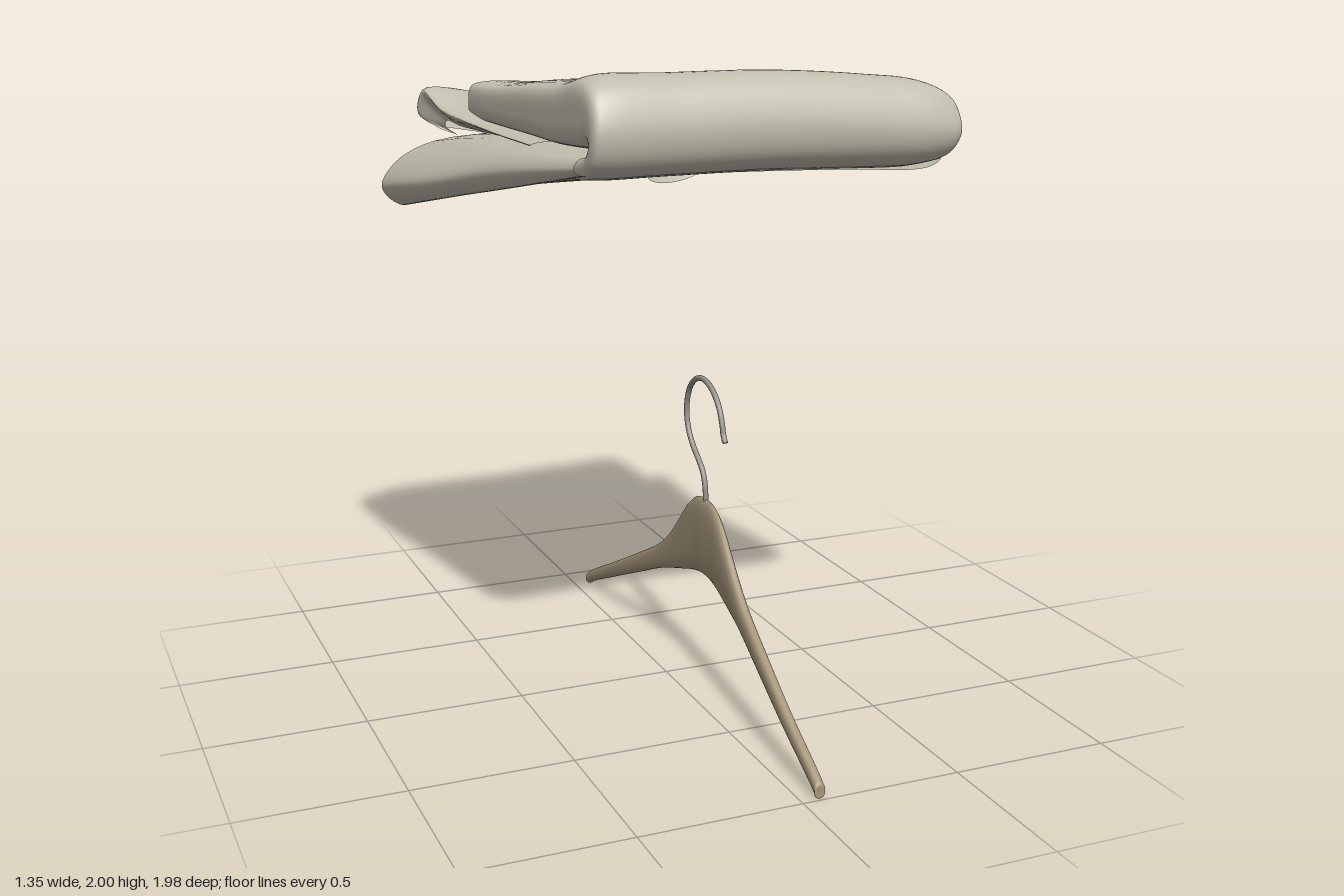
import * as THREE from 'three';

const material = (name, color) => {
  const m = new THREE.MeshStandardMaterial({ color, side: THREE.DoubleSide });
  m.name = name;
  return m;
};

// Smooth surface through rows of [x, y, z] points; each row may be a closed loop
function patch(rows, closed, across, along) {
  const curves = rows.map(r => new THREE.CatmullRomCurve3(r.map(p => new THREE.Vector3(...p)), closed));
  const columns = closed ? across : across + 1;
  const positions = [], index = [];
  for (let i = 0; i < columns; i++) {
    const line = new THREE.CatmullRomCurve3(curves.map(c => c.getPoint(i / across)));
    for (let j = 0; j <= along; j++) positions.push(...line.getPoint(j / along).toArray());
  }
  for (let i = 0; i < across; i++) {
    for (let j = 0; j < along; j++) {
      const a = i * (along + 1) + j, b = ((i + 1) % columns) * (along + 1) + j;
      index.push(a, b, a + 1, b, b + 1, a + 1);
    }
  }
  const g = new THREE.BufferGeometry();
  g.setAttribute('position', new THREE.Float32BufferAttribute(positions, 3));
  g.setIndex(index);
  g.computeVertexNormals();
  return g;
}

// Upper flap: a flattened cloth tube that runs forward, then folds down and under
function foldedFlap() {
  // Stations along the fold: outer z, y, inner z, y, and the shift of the side at +x
  const stations = [
    [-0.5, 1.908, -0.505, 1.785, 0], [-0.3, 1.92, -0.3, 1.785, -0.01], [0, 1.948, 0, 1.785, -0.02],
    [0.3, 1.97, 0.3, 1.785, 0], [0.5, 1.997, 0.49, 1.8, 0.02], [0.595, 1.97, 0.545, 1.82, 0.025],
    [0.645, 1.86, 0.57, 1.815, 0.025], [0.615, 1.76, 0.55, 1.795, 0.015], [0.5, 1.715, 0.45, 1.775, 0],
    [0.35, 1.708, 0.33, 1.765, -0.02], [0.15, 1.72, 0.15, 1.755, -0.05]];
  // Section: x and how far from the inner to the outer face
  const section = [[-0.475, 0.5], [-0.465, 0.88], [-0.42, 1], [-0.2, 1], [0.1, 1], [0.4, 0.99], [0.57, 0.92],
    [0.635, 0.7], [0.65, 0.35], [0.61, 0.06], [0.35, 0], [0, 0], [-0.4, 0], [-0.465, 0.12]];
  const rows = stations.map(([zo, yo, zi, yi, side], j) => section.map(([x, w]) => {
    const z = zi + (zo - zi) * w, y = yi + (yo - yi) * w;
    const drop = (j < 7 ? 0.035 : 0.015) * Math.max(0, x - 0.1) / 0.55 * (0.3 + 0.7 * w);
    const ripple = j < 4 ? 0.005 * w * Math.sin(8 * x + j) : 0;
    const back = j === 0 ? 0.02 * x : 0.01 * Math.sin(4 * x + 4);
    return [x + (x > 0.3 ? side : 0), y - drop + ripple, z + back];
  }));
  return patch(rows, true, 84, 80);
}

// Lower folded pocket, open at the back with a scalloped underside and drooping left corner
function lowerPocket() {
  const back = [[-0.675, 1.53], [-0.63, 1.61], [-0.49, 1.68], [0, 1.7], [0.4, 1.7], [0.53, 1.67], [0.555, 1.61],
    [0.5, 1.56], [0.34, 1.58], [0.22, 1.61], [-0.05, 1.62], [-0.4, 1.61], [-0.47, 1.535], [-0.6, 1.465]];
  const rear = [[-0.645, 1.59], [-0.6, 1.66], [-0.48, 1.73], [0, 1.745], [0.4, 1.75], [0.56, 1.74], [0.585, 1.68],
    [0.54, 1.63], [0.34, 1.61], [0.2, 1.605], [0, 1.605], [-0.35, 1.59], [-0.47, 1.57], [-0.59, 1.54]];
  const middle = [[-0.575, 1.68], [-0.545, 1.73], [-0.46, 1.765], [0, 1.77], [0.4, 1.77], [0.59, 1.765], [0.63, 1.725],
    [0.59, 1.68], [0.34, 1.66], [0.2, 1.655], [0, 1.65], [-0.3, 1.645], [-0.45, 1.64], [-0.54, 1.635]];
  const front = [[-0.505, 1.755], [-0.49, 1.78], [-0.45, 1.785], [0, 1.78], [0.4, 1.765], [0.59, 1.76], [0.63, 1.735],
    [0.59, 1.71], [0.34, 1.715], [0.2, 1.72], [0, 1.725], [-0.3, 1.73], [-0.45, 1.735], [-0.49, 1.74]];
  const scallop = [0.04, 0.12, 0.22, 0.15, 0.02];
  const rim = back.map(([x, y], i) => [x, y, -0.9 - 0.03 * Math.max(0, x) + (scallop[i - 8] ?? 0)]);
  const at = (loop, z) => loop.map(([x, y]) => [x, y, z]);
  return patch([rim, at(rear, -0.5), at(middle, 0), at(front, 0.57)], true, 84, 42);
}

// Middle flap, slanted, with its back edge rolled down into a lip at the left corner
function middleFlap() {
  return patch([
    [[-0.42, 1.75, 0.1], [-0.47, 1.77, 0.1], [0, 1.78, 0.1], [0.27, 1.775, 0.1], [0.32, 1.775, 0.1], [0.6, 1.765, 0.1], [0.58, 1.7, 0.1]],
    [[-0.42, 1.75, -0.3], [-0.49, 1.78, -0.3], [0, 1.785, -0.3], [0.27, 1.78, -0.3], [0.32, 1.78, -0.3], [0.6, 1.77, -0.3], [0.57, 1.7, -0.3]],
    [[-0.48, 1.76, -0.6], [-0.55, 1.82, -0.57], [0, 1.79, -0.6], [0.27, 1.78, -0.6], [0.32, 1.78, -0.6], [0.575, 1.755, -0.6], [0.55, 1.68, -0.6]],
    [[-0.5, 1.77, -0.68], [-0.57, 1.87, -0.72], [0, 1.765, -0.86], [0.27, 1.75, -0.9], [0.32, 1.75, -0.905], [0.55, 1.71, -0.94], [0.54, 1.64, -0.88]],
    [[-0.5, 1.75, -0.7], [-0.575, 1.79, -0.765], [0, 1.71, -0.9], [0.27, 1.69, -0.94], [0.32, 1.64, -0.955], [0.545, 1.62, -0.985], [0.54, 1.58, -0.95]],
    [[-0.46, 1.72, -0.7], [-0.52, 1.745, -0.72], [0, 1.65, -0.87], [0.27, 1.63, -0.89], [0.31, 1.505, -0.9], [0.49, 1.505, -0.93], [0.545, 1.55, -0.93]]
  ], false, 60, 40);
}

// Hanger arms: stations of [distance from centre, top, bottom, x]
const HANGER_Z = 0.055;
function hangerBody() {
  const half = [[0, 0.605, 0.345, 0.115], [0.06, 0.597, 0.34, 0.115], [0.12, 0.56, 0.326, 0.113],
    [0.2, 0.475, 0.302, 0.11], [0.26, 0.413, 0.284, 0.107], [0.34, 0.35, 0.258, 0.101],
    [0.48, 0.275, 0.2, 0.089], [0.7, 0.165, 0.108, 0.071], [0.925, 0.055, 0.012, 0.058], [0.935, 0.045, 0.005, 0.057]];
  const stations = [...half.slice(1).reverse().map(([d, ...r]) => [-d, ...r]), ...half];
  const rows = stations.map(([d, top, bottom, x]) => {
    const h = (top - bottom) / 2, y = (top + bottom) / 2, loop = [];
    const thickness = 0.021 - 0.005 * Math.abs(d);
    for (let k = 0; k < 12; k++) {
      const a = k / 12 * Math.PI * 2, c = Math.cos(a), s = Math.sin(a);
      loop.push([x + thickness * Math.sign(c) * Math.abs(c) ** 0.85, y + h * Math.sign(s) * Math.abs(s) ** 0.85, HANGER_Z + d]);
    }
    return loop;
  });
  // Close both tips
  const tip = row => row.map(p => [0.057, 0.025, p[2]]);
  return patch([tip(rows[0]), ...rows, tip(rows[rows.length - 1])], true, 24, 100);
}

function hangerHook() {
  const path = [[0.055, 0.58], [0.05, 0.645], [0.03, 0.69], [-0.005, 0.722], [-0.055, 0.762], [-0.09, 0.81], [-0.102, 0.87],
    [-0.08, 0.938], [-0.03, 0.982], [0.035, 0.996], [0.1, 0.978], [0.152, 0.935], [0.178, 0.885], [0.188, 0.852], [0.203, 0.83]];
  const curve = new THREE.CatmullRomCurve3(path.map(([z, y]) => new THREE.Vector3(0.115, y, z)));
  return new THREE.TubeGeometry(curve, 72, 0.009, 10);
}

export function createModel() {
  const cloth = material('grey beige cloth', 0xc3bfaf);
  const wood = material('brown wood', 0xa6967c);
  const metal = material('grey metal', 0x949089);
  const model = new THREE.Group();
  const group = name => {
    const g = new THREE.Group();
    g.name = name;
    model.add(g);
    return g;
  };
  const add = (parent, name, geometry, mat) => {
    const mesh = new THREE.Mesh(geometry, mat);
    mesh.name = name;
    parent.add(mesh);
  };

  const garment = group('foldedCloth');
  add(garment, 'upperFlap', foldedFlap(), cloth);
  add(garment, 'middleFlap', middleFlap(), cloth);
  add(garment, 'lowerPocket', lowerPocket(), cloth);

  const hanger = group('hanger');
  add(hanger, 'hangerBody', hangerBody(), wood);
  add(hanger, 'hangerHook', hangerHook(), metal);
  return model;
}
